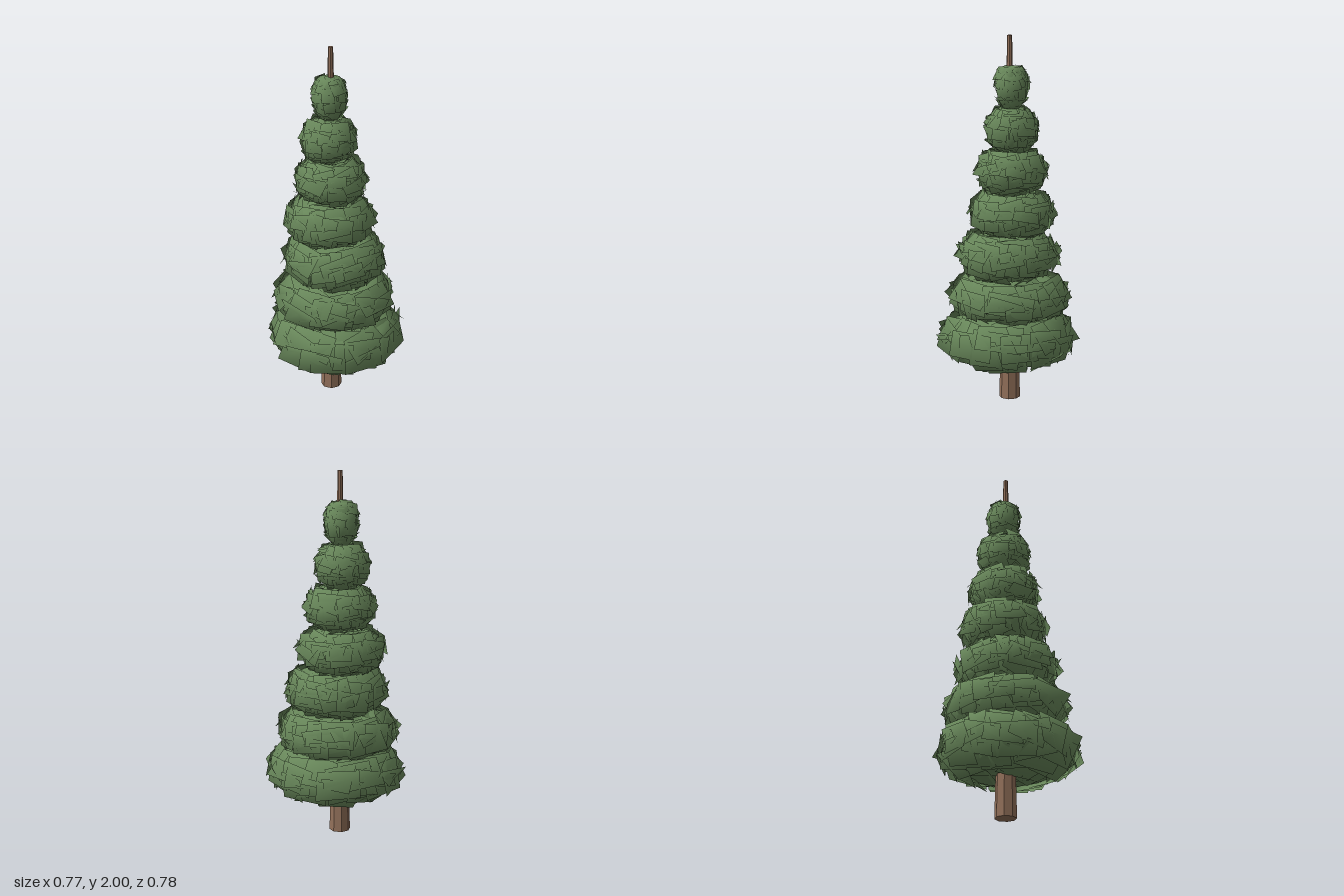
import * as THREE from 'three';

const TRUNK_X = -0.022, TRUNK_Z = 0.016;

// Small seeded generator so the foliage is always the same
function makeRandom(seed) {
  let s = seed;
  return () => {
    s = (s * 1664525 + 1013904223) % 4294967296;
    return s / 4294967296;
  };
}

// Bowl-bottomed outline of a tier: [radius factor, height factor], bottom to top
const PROFILE = [[0.1, 0.03], [0.5, 0.05], [0.76, 0.2], [0.88, 0.4], [0.9, 0.65], [0.81, 0.86], [0.6, 0.95], [0.1, 0.98]];

// Rows of leaf cards: radius factor, height factor, lean (positive faces up), count, size
const ROWS = [
  [0.38, 0.06, -1.3, 8, 0.75],
  [0.68, 0.17, -0.85, 12, 0.75],
  [0.90, 0.42, -0.22, 14, 0.72],
  [0.93, 0.61, 0.1, 14, 0.72],
  [0.82, 0.80, 0.6, 14, 0.72],
  [0.52, 0.93, 1.15, 9, 0.75],
];

// Overlapping square cards lying on the bowl, with rounded normals
function leafCards(radius, y0, y1, random) {
  const positions = [], normals = [], indices = [];
  const height = y1 - y0, midY = (y0 + y1) / 2;
  const jitter = (amount) => (random() - 0.5) * 2 * amount;
  for (const [rf, hf, lean, count, size] of ROWS) {
    for (let i = 0; i < count; i++) {
      const a = ((i + jitter(0.4)) / count) * Math.PI * 2 + hf * 9;
      const r = radius * rf * (1 + jitter(0.05));
      const centre = new THREE.Vector3(Math.sin(a) * r, y0 + height * (hf + jitter(0.05)), Math.cos(a) * r);
      const turn = new THREE.Quaternion().setFromEuler(
        new THREE.Euler(-lean + jitter(0.16), a + jitter(0.22), jitter(0.3), 'YXZ'));
      const halfW = radius * size * (0.36 + random() * 0.18);
      const halfH = Math.min(height * 0.5, radius * 0.6) * size * (0.7 + random() * 0.35);
      const first = positions.length / 3;
      for (const [sx, sy] of [[-1, -1], [1, -1], [1, 1], [-1, 1]]) {
        const p = new THREE.Vector3(sx * halfW, sy * halfH, 0).applyQuaternion(turn).add(centre);
        p.y = THREE.MathUtils.clamp(p.y, y0 - 0.005, y1 + 0.01);
        // Draw corners near the bottom and top of the tier inwards
        const t = (p.y - y0) / height;
        const reach = radius * Math.min(0.7 + 1.2 * t, 0.86 + 0.8 * (1 - t));
        const pull = Math.min(1, reach / Math.hypot(p.x, p.z));
        p.x *= pull;
        p.z *= pull;
        positions.push(p.x, p.y, p.z);
        const n = new THREE.Vector3(p.x / radius, (p.y - midY) / (height * 0.6), p.z / radius).normalize();
        normals.push(n.x, n.y, n.z);
      }
      indices.push(first, first + 1, first + 2, first, first + 2, first + 3);
    }
  }
  const geometry = new THREE.BufferGeometry();
  geometry.setAttribute('position', new THREE.Float32BufferAttribute(positions, 3));
  geometry.setAttribute('normal', new THREE.Float32BufferAttribute(normals, 3));
  geometry.setIndex(indices);
  return geometry;
}

export function createModel() {
  const model = new THREE.Group();
  model.name = 'firTree';

  const bark = new THREE.MeshStandardMaterial({ color: 0x92705a, flatShading: true });
  bark.name = 'bark brown';
  const needles = new THREE.MeshStandardMaterial({ color: 0x68875a, side: THREE.DoubleSide });
  needles.name = 'needle green';

  // Tapering trunk that pokes out at the top
  const trunk = new THREE.Mesh(new THREE.CylinderGeometry(0.013, 0.058, 2, 8), bark);
  trunk.name = 'trunk';
  trunk.position.set(TRUNK_X, 1, TRUNK_Z);
  model.add(trunk);

  // Foliage tiers: radius, bottom, top, centre x, centre z
  const tiers = [
    [0.375, 0.22, 0.48, 0.000, 0.000],
    [0.335, 0.47, 0.69, -0.008, 0.003],
    [0.275, 0.69, 0.93, -0.003, 0.008],
    [0.235, 0.92, 1.15, -0.034, 0.016],
    [0.188, 1.15, 1.38, -0.026, 0.010],
    [0.142, 1.37, 1.61, -0.036, 0.018],
    [0.092, 1.60, 1.845, -0.032, 0.012],
  ];
  const random = makeRandom(20);
  tiers.forEach(([radius, y0, y1, x, z], i) => {
    const tier = new THREE.Group();
    tier.name = `foliageTier${i + 1}`;
    tier.position.set(x, 0, z);

    // Solid heart of the tier behind the cards
    const points = PROFILE.map(([rf, hf]) => new THREE.Vector2(rf * radius, y0 + hf * (y1 - y0)));
    const core = new THREE.Mesh(new THREE.LatheGeometry(points, 11), needles);
    core.name = 'foliageCore';

    const cards = new THREE.Mesh(leafCards(radius, y0, y1, random), needles);
    cards.name = 'leafCards';
    tier.add(core, cards);
    model.add(tier);
  });

  return model;
}
